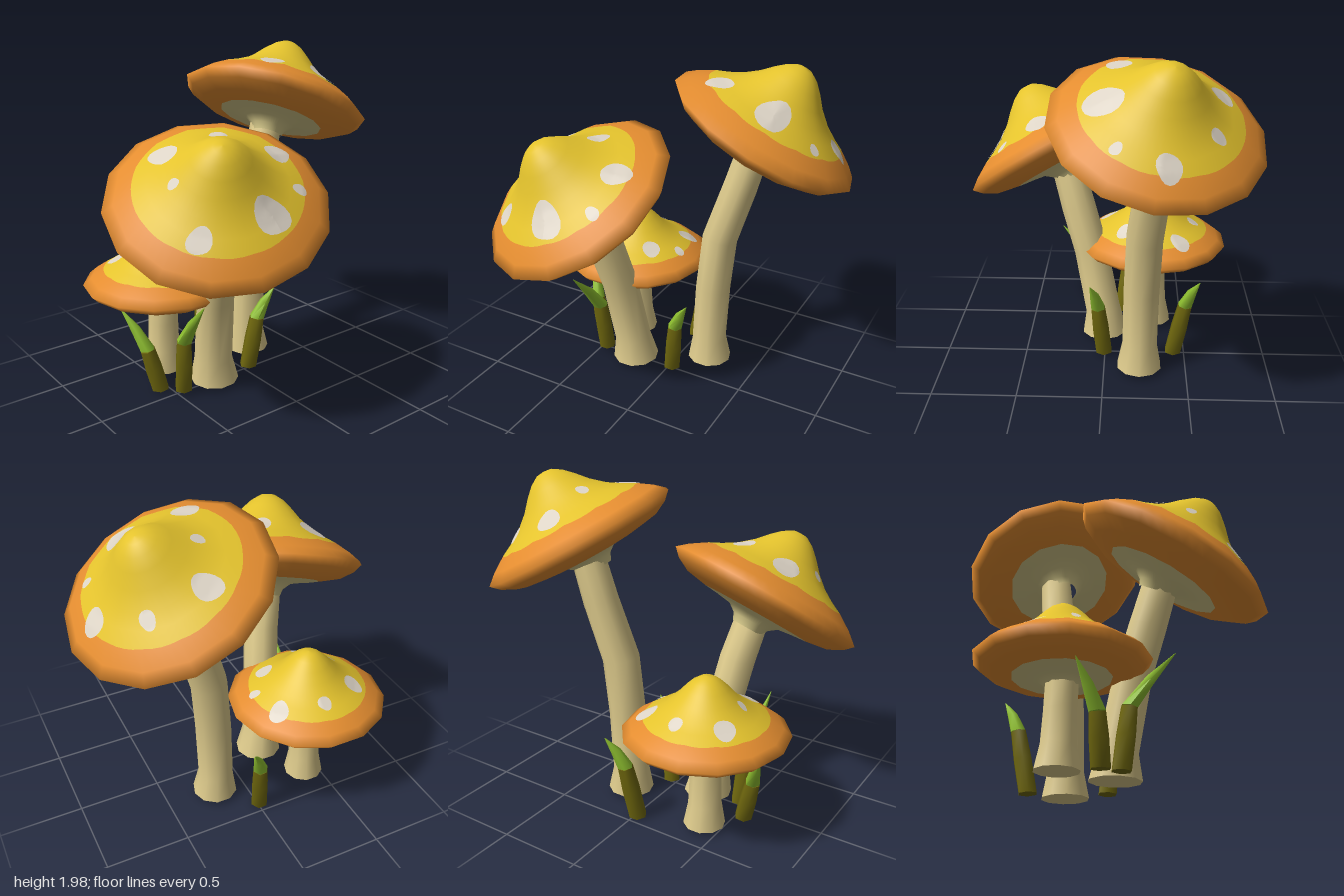
import * as THREE from 'three';
import { toCreasedNormals } from 'three/addons/utils/BufferGeometryUtils.js';

const mat = (name, color) => {
  const m = new THREE.MeshStandardMaterial({ color });
  m.name = name;
  return m;
};
const UP = new THREE.Vector3(0, 1, 0);
const SIDES = 14;
const STEP = (Math.PI * 2) / SIDES;

// Cap profiles as [radius, height] in units of the cap radius
const UNDER = [[0.16, -0.35], [0.19, -0.28], [0.27, -0.22], [0.42, -0.2], [0.56, -0.187], [0.78, -0.152], [0.92, -0.08]];
const TOP = [[1, 0], [0.9, 0.085], [0.74, 0.19], [0.62, 0.25], [0.49, 0.33],
  [0.36, 0.44], [0.26, 0.55], [0.17, 0.635], [0.08, 0.69], [0, 0.7]];
const GILL_EDGE = 4;
const YELLOW_EDGE = UNDER.length + 2;

// How far a flat-sided ring lies inside its round one at angle a
function facet(a) {
  const off = a - (Math.floor(a / STEP) + 0.5) * STEP;
  return Math.cos(STEP / 2) / Math.cos(off);
}

// Height of the faceted cap top above local x, z
function capHeight(x, z) {
  const r = Math.hypot(x, z) / facet(Math.atan2(x, z));
  for (let i = 1; i < TOP.length; i++) {
    const [r0, y0] = TOP[i - 1], [r1, y1] = TOP[i];
    if (r >= r1) return y1 + ((y0 - y1) * (r - r1)) / (r0 - r1);
  }
  return TOP.at(-1)[1];
}

// Whole cap with smooth normals: gills, orange rim and yellow crown as groups
function capGeometry() {
  const profile = [...UNDER, ...TOP].map(p => new THREE.Vector2(...p));
  const segments = SIDES * 4, rows = profile.length, bands = rows - 1;
  const g = new THREE.LatheGeometry(profile, segments);
  const pos = g.attributes.position;
  for (let i = 0; i <= segments; i++) {
    const k = facet((i / segments) * Math.PI * 2 + 1e-6);
    for (let j = 0; j < rows; j++) {
      const n = i * rows + j, x = pos.getX(n), z = pos.getZ(n);
      // the colour border stays round, the other rings get flat sides
      if (j === YELLOW_EDGE) pos.setXYZ(n, x, capHeight(x, z), z);
      else pos.setXYZ(n, x * k, pos.getY(n), z * k);
    }
  }
  const edges = [0, GILL_EDGE, YELLOW_EDGE, bands];
  for (let i = 0; i < segments; i++)
    for (let m = 0; m < 3; m++) g.addGroup((i * bands + edges[m]) * 6, (edges[m + 1] - edges[m]) * 6, m);
  return g;
}

// Solid tube through rings of [x, y, z, radius]
function loft(rings, sides) {
  const rows = rings.length - 1;
  const g = new THREE.CylinderGeometry(1, 1, 1, sides, rows);
  const centres = rings.map(r => new THREE.Vector3(r[0], r[1], r[2]));
  const turns = centres.map((c, i) => {
    const dir = centres[Math.min(i + 1, rows)].clone().sub(centres[Math.max(i - 1, 0)]).normalize();
    if (i === 0) dir.lerp(UP, 0.7).normalize();
    return new THREE.Quaternion().setFromUnitVectors(UP, dir);
  });
  const pos = g.attributes.position, v = new THREE.Vector3();
  for (let i = 0; i < pos.count; i++) {
    v.fromBufferAttribute(pos, i);
    const k = Math.round((v.y + 0.5) * rows);
    v.y = 0;
    v.multiplyScalar(rings[k][3]).applyQuaternion(turns[k]).add(centres[k]);
    pos.setXYZ(i, v.x, v.y, v.z);
  }
  return toCreasedNormals(g, 1.1);
}

// Thin irregular patch following the cap, centred at local x, z
function spotGeometry(cx, cz, radius, seed) {
  const g = new THREE.RingGeometry(0, 1, 18, 5).rotateX(-Math.PI / 2);
  const pos = g.attributes.position;
  for (let i = 0; i < pos.count; i++) {
    const a = Math.atan2(pos.getZ(i), pos.getX(i));
    const r = radius * (1.06 + 0.06 * Math.sin(3 * a + seed) + 0.06 * Math.sin(2 * a + seed * 2));
    const x = cx + pos.getX(i) * r, z = cz + pos.getZ(i) * r;
    pos.setXYZ(i, x, capHeight(x, z) + 0.01, z);
  }
  g.computeVertexNormals();
  return g;
}

export function createModel() {
  const yellow = mat('capYellow', 0xe4c32d);
  const orange = mat('rimOrange', 0xe48d30);
  const cream = mat('stemCream', 0xdecb8c);
  const gill = mat('gillBeige', 0xd6c98a);
  const pale = mat('spotPale', 0xddd4c6);
  const olive = mat('bladeOlive', 0x70680e);
  const green = mat('bladeGreen', 0x8fc030);

  const model = new THREE.Group();
  model.name = 'mushroomCluster';
  const add = (parent, name, geometry, material) => {
    const m = new THREE.Mesh(geometry, material);
    m.name = name;
    parent.add(m);
  };

  // Spots are [world x, world z, radius] as seen from straight above
  const mushrooms = [
    {
      name: 'tallMushroom', centre: [-0.285, 1.61, -0.465], axis: [-0.18, 0.88, -0.445], radius: 0.58,
      stem: [[-0.215, 0.035, -0.19, 0.138], [-0.217, 0.18, -0.185, 0.109], [-0.222, 0.55, -0.2, 0.11],
        [-0.235, 0.9, -0.23, 0.11], [-0.275, 1.25, -0.335, 0.104], [-0.29, 1.5, -0.405, 0.098]],
      spots: [[-0.33, -0.87, 0.062], [-0.08, -0.82, 0.03], [-0.01, -0.61, 0.088], [-0.08, -0.27, 0.065],
        [-0.39, -0.34, 0.03], [-0.61, -0.39, 0.065], [-0.57, -0.68, 0.04]],
    },
    {
      name: 'leaningMushroom', centre: [0.315, 1.245, 0.42], axis: [0.48, 0.83, 0.27], radius: 0.602,
      stem: [[0.01, 0.035, 0.235, 0.145], [0.022, 0.19, 0.25, 0.113], [0.1, 0.6, 0.285, 0.108],
        [0.18, 0.88, 0.325, 0.108], [0.25, 1.13, 0.38, 0.102]],
      spots: [[0.4, 0.09, 0.07], [0.61, 0.11, 0.035], [0.2, 0.33, 0.05], [0.69, 0.36, 0.088],
        [0.13, 0.63, 0.075], [0.58, 0.72, 0.06], [0.36, 0.72, 0.027]],
    },
    {
      name: 'smallMushroom', centre: [-0.29, 0.62, 0.395], axis: [0, 1, 0], radius: 0.477,
      stem: [[-0.305, 0.035, 0.4, 0.122], [-0.3, 0.17, 0.4, 0.097], [-0.295, 0.35, 0.4, 0.091], [-0.29, 0.52, 0.4, 0.09]],
      spots: [[-0.46, 0.11, 0.055], [-0.25, 0.06, 0.03], [-0.12, 0.19, 0.05], [-0.55, 0.36, 0.037],
        [-0.46, 0.61, 0.055], [-0.24, 0.59, 0.025], [-0.01, 0.51, 0.055]],
    },
  ];

  for (const m of mushrooms) {
    const group = new THREE.Group();
    group.name = m.name;
    model.add(group);
    add(group, 'stem', loft(m.stem, 10), cream);

    // Cap, tilted along its own axis
    const cap = new THREE.Group();
    cap.name = 'cap';
    cap.position.set(...m.centre);
    cap.quaternion.setFromUnitVectors(UP, new THREE.Vector3(...m.axis).normalize());
    cap.scale.setScalar(m.radius);
    group.add(cap);
    add(cap, 'capBody', capGeometry(), [gill, orange, yellow]);

    // Drop each spot straight down onto the tilted cap
    cap.updateMatrix();
    const inverse = cap.matrix.clone().invert();
    m.spots.forEach(([x, z, r], i) => {
      const p = new THREE.Vector3();
      let y = m.centre[1] + 0.2;
      for (let k = 0; k < 40; k++) {
        p.set(x, y, z).applyMatrix4(inverse);
        y += 0.4 * m.radius * (capHeight(p.x, p.z) - p.y);
      }
      add(cap, 'spot', spotGeometry(p.x, p.z, r / m.radius, i * 1.7), pale);
    });
  }

  // Grass blades: base, bend and tip
  const blades = [
    [[-0.43, 0.01, 0.015], [-0.495, 0.36, -0.02], [-0.575, 0.555, -0.1]],
    [[-0.105, 0.015, 0.55], [-0.13, 0.28, 0.615], [-0.25, 0.525, 0.715]],
    [[0.01, 0.03, 0.46], [0.05, 0.36, 0.475], [0.295, 0.66, 0.5]],
    [[0.005, 0.03, -0.03], [0.04, 0.36, -0.07], [0.085, 0.55, -0.17]],
  ];
  const mix = (a, b, t) => a.map((v, i) => v + (b[i] - v) * t);
  for (const [base, bend, tip] of blades) {
    const blade = new THREE.Group();
    blade.name = 'grassBlade';
    model.add(blade);
    const middle = mix(bend, tip, 0.45);
    middle[1] += 0.015;
    add(blade, 'bladeBase', loft([[...base, 0.054], [...mix(base, bend, 0.55), 0.054], [...bend, 0.046]], 6), olive);
    add(blade, 'bladeTip', loft([[...bend, 0.046], [...middle, 0.03], [...tip, 0.002]], 6), green);
  }
  return model;
}
